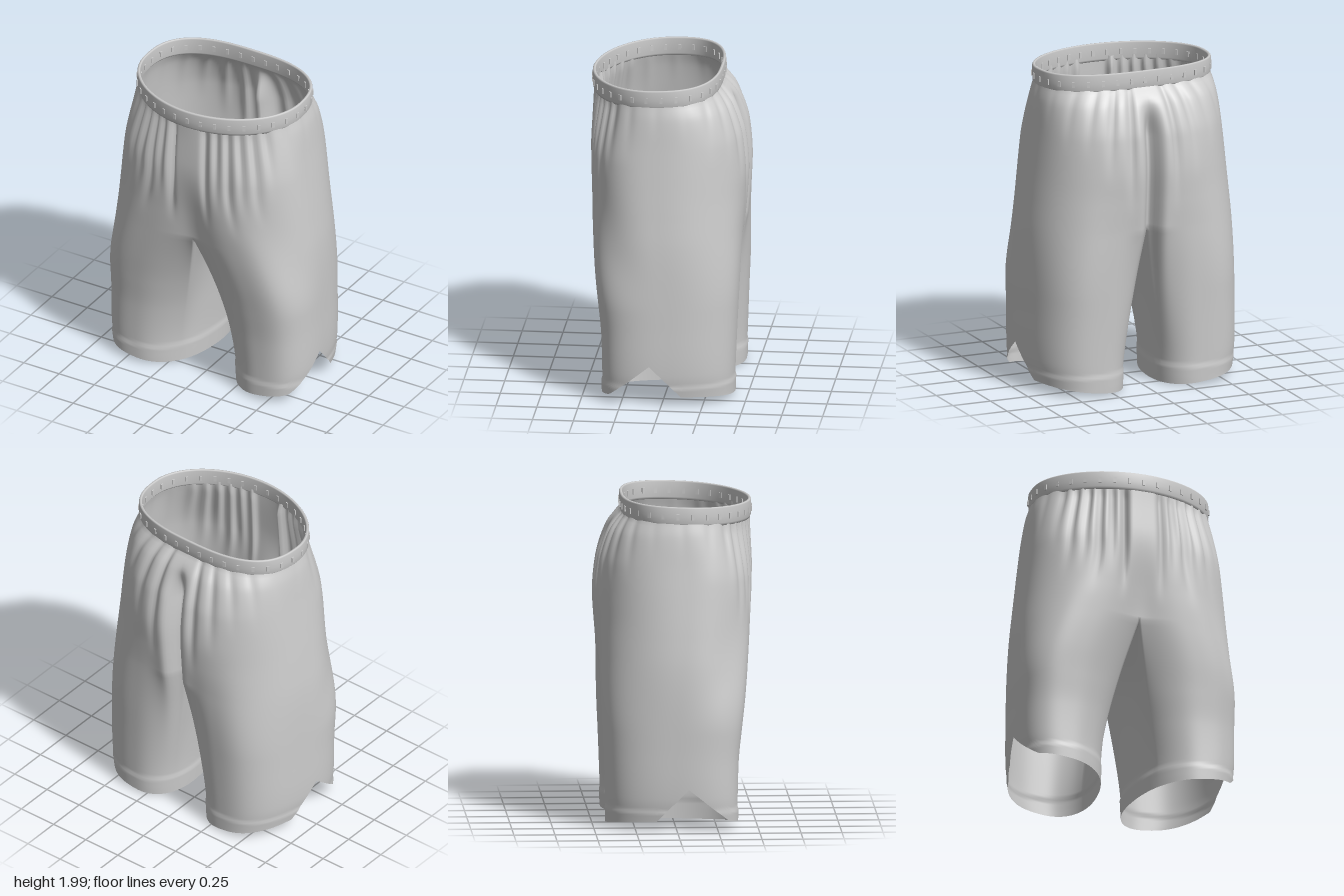
import * as THREE from 'three';
import { mergeVertices, mergeGeometries } from 'three/addons/utils/BufferGeometryUtils.js';

const { smoothstep, clamp, lerp, degToRad } = THREE.MathUtils;

// Smooth cubic lookup of [height, value] pairs, highest first
function lookup(table, y) {
  const last = table.length - 1;
  if (y >= table[0][0]) return table[0][1];
  if (y <= table[last][0]) return table[last][1];
  const slope = (i) => {
    const a = table[Math.max(i - 1, 0)], b = table[Math.min(i + 1, last)];
    return (b[1] - a[1]) / (b[0] - a[0]);
  };
  const i = table.findIndex((p) => y >= p[0]);
  const [y0, v0] = table[i], [y1, v1] = table[i - 1];
  const h = y1 - y0, t = (y - y0) / h, u = 1 - t;
  return v0 * u * u * (1 + 2 * t) + v1 * t * t * (3 - 2 * t) + h * t * u * (u * slope(i) - t * slope(i - 1));
}

// Half width, front and back depth, and inner leg edge by height
const WIDTH = [[1.9, 0.547], [1.8, 0.572], [1.6, 0.598], [1.4, 0.624], [1.2, 0.65], [1, 0.673], [0.8, 0.684], [0.5, 0.688], [0.2, 0.688], [0.05, 0.668]];
const FRONT = [[1.9, 0.475], [1.8, 0.477], [1.5, 0.487], [1.2, 0.47], [1, 0.452], [0.8, 0.43], [0.6, 0.405], [0.4, 0.385], [0, 0.375]];
const BACK = [[1.9, 0.308], [1.85, 0.355], [1.8, 0.393], [1.7, 0.437], [1.6, 0.465], [1.4, 0.485], [1.2, 0.478], [1, 0.464], [0.5, 0.435], [0, 0.415]];
const INSEAM = [[1, 0.045], [0.8, 0.064], [0.6, 0.076], [0.4, 0.09], [0.2, 0.105], [0, 0.115]];

// Gathers below the waistband: angle from the front centre, depth, lower end
const PLEATS = [
  [16, 0.028, 1.1], [26, 0.025, 1.25], [35, 0.03, 1.1], [44, 0.03, 1.25], [53, 0.028, 1.2],
  [62, 0.022, 1.4], [75, 0.01, 1.5], [92, 0.007, 1.6], [110, 0.008, 1.6], [125, 0.014, 1.5],
  [138, 0.018, 1.45], [151, 0.022, 1.3], [164, 0.026, 1.1],
];

const CROTCH = 1.02, SAG = 0.08, COLS = 120, INNER = 30, UPPER = 44, LOWER = 46;
const CENTRE_Z = 0.06, LEG_SKEW = 0.13;

// Radius of a superellipse in direction (s, c)
const radius = (s, c, a, b, n) => Math.pow(Math.pow(Math.abs(s) / a, n) + Math.pow(Math.abs(c) / b, n), -1 / n);
const waistTop = (z) => 1.985 - 0.04 * z;

// Smooth radius of the hips about the middle axis
function hipRadius(phi, y) {
  const s = Math.sin(phi), c = Math.cos(phi);
  const n = c > 0 ? lerp(2.6, 1.95, smoothstep(y, 1.5, 1.9)) : lerp(2.45, 2.7, smoothstep(y, 1.25, 1.88));
  return radius(s, c, lookup(WIDTH, y), c > 0 ? lookup(FRONT, y) - CENTRE_Z : lookup(BACK, y) + CENTRE_Z, n);
}

// Point [x, z] on the half outline of the hips, with gathers
function hipPoint(phi, y, side) {
  const s = Math.sin(phi), c = Math.cos(phi);
  let r = hipRadius(phi, y);
  for (const [deg, depth, low] of PLEATS) {
    const d = (phi - degToRad(deg)) / degToRad(2.8);
    const deep = side < 0 && deg === 16 ? 1.6 : 1;
    r -= deep * depth * Math.exp(-d * d) * smoothstep(y, low, low + 0.5) * (1 - 0.6 * smoothstep(y, 1.8, 1.92));
  }
  const x = r * s;
  // centre seams: broad and shallow in front, a deep cleft behind
  const dip = c > 0
    ? 0.045 * Math.exp(-((x / 0.1) ** 2)) * (1 - smoothstep(y, 1.0, 1.6))
    : 0.12 * Math.exp(-((x / 0.045) ** 2)) * (1 - smoothstep(y, 1.6, 1.86));
  return [Math.abs(x) < 1e-6 ? 0 : x, CENTRE_Z + r * c - Math.sign(c) * dip];
}

// Point [x, z] on the closed outline of a leg, skewed outward at the front
function legPoint(psi, y) {
  const s = Math.sin(psi), c = Math.cos(psi);
  const xo = lookup(WIDTH, y), xi = lookup(INSEAM, y), zf = lookup(FRONT, y), zb = lookup(BACK, y);
  const hem = 0.006 * (1 - smoothstep(y, 0.115, 0.135));
  const r = radius(s, c, (xo - xi) / 2 - 0.007, (zf + zb) / 2, lerp(2.3, 2.6, smoothstep(s, -0.4, 0.4))) + hem;
  return [(xi + xo) / 2 + r * s + LEG_SKEW * r * c, (zf - zb) / 2 + r * c];
}

// Outer cloth: the hip outline turns into the leg outline, later near the centre seams
function outerPoint(i, y, side, seamWeight) {
  const phi = Math.PI * i / COLS;
  const [hx, hz] = hipPoint(phi, y, side), [lx, lz] = legPoint(legAngle(i), y);
  const w = lerp(seamWeight, 1 - smoothstep(y, 0.6, 1.5), smoothstep(Math.sin(phi), 0, 0.7));
  return [side * lerp(hx, lx, w), y, lerp(hz, lz, w)];
}
const legAngle = (i) => degToRad(-45 + 270 * i / COLS);

// Hem height with the pointed side slit
function hemHeight(psi) {
  const [x, z] = legPoint(psi, 0.1);
  const base = 0.005 + 0.06 * Math.pow(clamp((x - 0.1) / 0.55, 0, 1), 1.5);
  if (x < 0.4) return base;
  const slit = z > 0.07 ? 0.265 - (z - 0.07) * 0.8 : 0.265 - (0.07 - z) * 1.03;
  return Math.max(base, slit);
}

// Adds a grid of rows; closed rows join their ends
function addGrid(pos, index, rows, closed, flip) {
  const base = pos.length / 3, n = rows[0].length;
  rows.forEach((row) => row.forEach((p) => pos.push(...p)));
  for (let j = 0; j < rows.length - 1; j++) {
    for (let i = 0; i < (closed ? n : n - 1); i++) {
      const k = (i + 1) % n;
      const a = base + j * n + i, b = base + j * n + k, c = a + n, d = b + n;
      if (flip) index.push(a, b, c, b, d, c);
      else index.push(a, c, b, b, c, d);
    }
  }
}

function toGeometry(pos, index) {
  let g = new THREE.BufferGeometry();
  g.setAttribute('position', new THREE.Float32BufferAttribute(pos, 3));
  g.setIndex(index);
  g = mergeVertices(g, 1e-5);
  g.computeVertexNormals();
  return g;
}

// Hips and both legs as one smooth cloth surface
function clothGeometry() {
  const pos = [], index = [];
  for (const side of [1, -1]) {
    const upper = [], lower = [];
    for (let j = 0; j <= UPPER; j++) {
      const row = [];
      for (let i = 0; i <= COLS; i++) {
        const top = waistTop(0.4 * Math.cos(Math.PI * i / COLS)) - 0.085;
        row.push(outerPoint(i, lerp(top, CROTCH, j / UPPER), side, 0));
      }
      upper.push(row);
    }
    const zFront = hipPoint(0, CROTCH, side)[1], zBack = hipPoint(Math.PI, CROTCH, side)[1];
    for (let j = 0; j <= LOWER; j++) {
      const t = 1 - Math.pow(1 - j / LOWER, 1.35), row = [];
      for (let i = 0; i <= COLS; i++) {
        row.push(outerPoint(i, lerp(CROTCH, hemHeight(legAngle(i)), t), side, 1 - Math.pow(1 - t, 2)));
      }
      // inner thigh panel hanging from the crotch seam, back to front
      for (let i = 1; i < INNER; i++) {
        const v = i / INNER, psi = degToRad(225 + 90 * v), bow = Math.sin(Math.PI * v);
        const y = lerp(CROTCH - SAG * bow, hemHeight(psi), t);
        const w = 1 - Math.pow(1 - t, 2 + 3 * bow);
        const zSeam = lerp(hipPoint(Math.PI, y, side)[1], hipPoint(0, y, side)[1], v);
        const [lx, lz] = legPoint(psi, y);
        row.push([side * lx * w, y, lerp(j ? zSeam : lerp(zBack, zFront, v), lz, w)]);
      }
      lower.push(row);
    }
    addGrid(pos, index, upper, false, side < 0);
    addGrid(pos, index, lower, true, side < 0);
  }
  return toGeometry(pos, index);
}

// Point [x, z] on the full waist outline, moved outward by off
function waistPoint(a, off) {
  const r = hipRadius(a, 2) + off;
  return [r * Math.sin(a), CENTRE_Z + r * Math.cos(a)];
}

// Elastic band: a rounded strip swept around the tilted waist
function bandGeometry() {
  const pos = [], index = [], rows = [];
  const profile = [[0, -0.116], [0.007, -0.1], [0.01, -0.06], [0.009, -0.008], [0.004, 0], [-0.006, 0], [-0.011, -0.008], [-0.012, -0.1], [0, -0.116]];
  for (const [off, dy] of profile) {
    const row = [];
    for (let i = 0; i < 120; i++) {
      const [x, z] = waistPoint(i / 120 * Math.PI * 2, off);
      row.push([x, waistTop(z) + dy, z]);
    }
    rows.push(row);
  }
  addGrid(pos, index, rows, true, false);
  return toGeometry(pos, index);
}

// Short stitched ridges spaced evenly along the band
function stitchGeometry() {
  const curve = new THREE.CatmullRomCurve3(Array.from({ length: 80 }, (_, i) => {
    const [x, z] = waistPoint(i / 80 * Math.PI * 2, -0.001);
    return new THREE.Vector3(x, waistTop(z) - 0.06, z);
  }), true);
  const parts = [];
  for (let i = 0; i < 34; i++) {
    const p = curve.getPointAt(i / 34), t = curve.getTangentAt(i / 34);
    const box = new THREE.BoxGeometry(0.018, 0.034, 0.032);
    box.rotateY(Math.atan2(-t.z, t.x));
    parts.push(box.translate(p.x, p.y, p.z));
  }
  return mergeGeometries(parts);
}

export function createModel() {
  const cloth = new THREE.MeshStandardMaterial({ color: 0xcccccc, side: THREE.DoubleSide });
  cloth.name = 'light grey cloth';
  const group = new THREE.Group();
  group.name = 'shorts';
  const parts = { hipsAndLegs: clothGeometry(), waistband: bandGeometry(), waistbandStitches: stitchGeometry() };
  for (const [name, geometry] of Object.entries(parts)) {
    const mesh = new THREE.Mesh(geometry, cloth);
    mesh.name = name;
    group.add(mesh);
  }
  return group;
}
